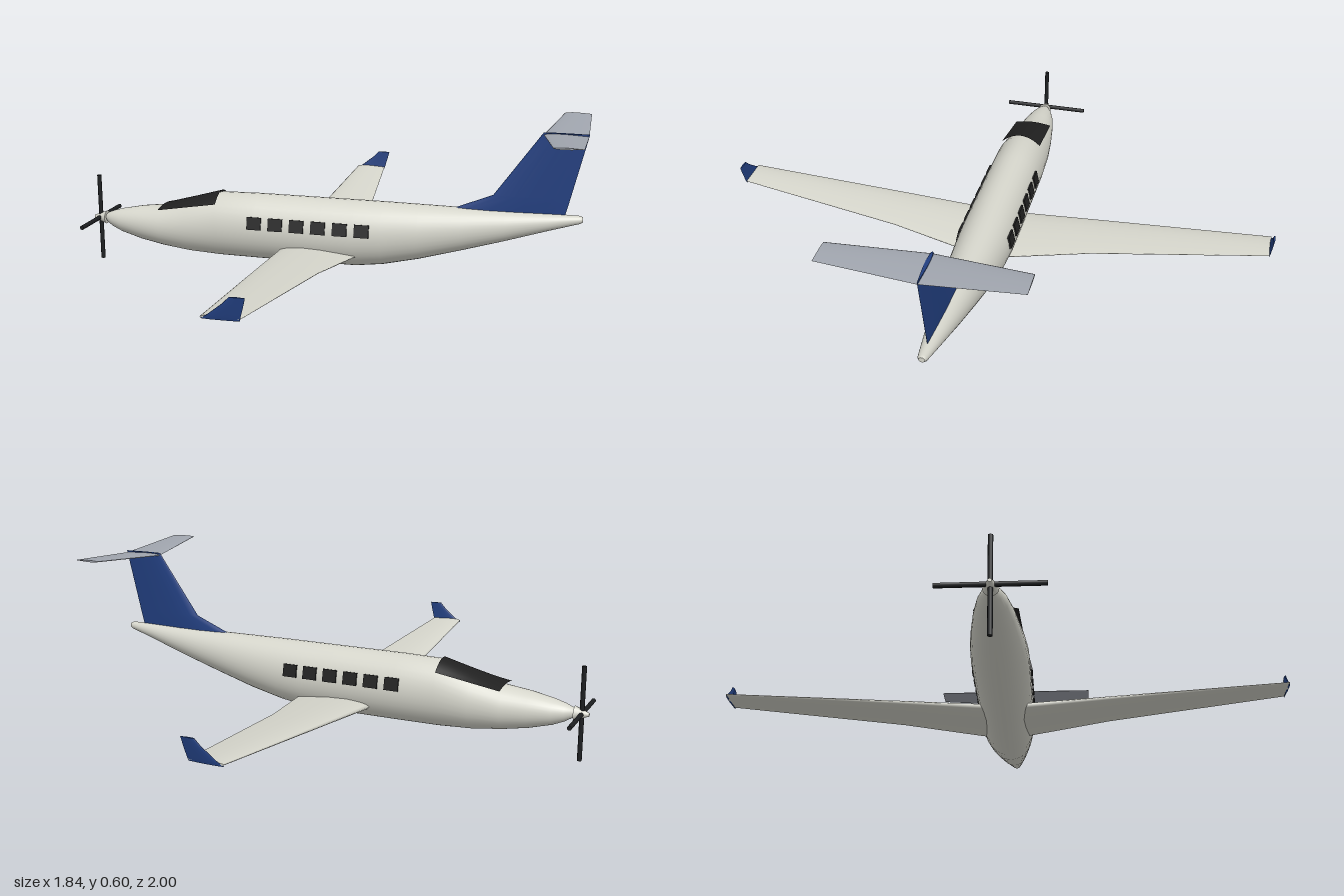
import * as THREE from 'three';

const paint = (name, color, side = THREE.FrontSide) => {
  const m = new THREE.MeshStandardMaterial({ color, side });
  m.name = name;
  return m;
};

// Skins a list of closed rings (arrays of Vector3), caps both ends, and faces outwards.
function loft(rings) {
  const n = rings[0].length, pos = [], idx = [];
  rings.forEach(r => r.forEach(p => pos.push(p.x, p.y, p.z)));
  for (let i = 0; i < rings.length - 1; i++) {
    for (let j = 0; j < n; j++) {
      const a = i * n + j, b = i * n + (j + 1) % n;
      idx.push(a, b, b + n, a, b + n, a + n);
    }
  }
  [rings[0], rings[rings.length - 1]].forEach((ring, end) => {
    const base = pos.length / 3;
    const mid = ring.reduce((s, p) => s.add(p), new THREE.Vector3()).divideScalar(n);
    [...ring, mid].forEach(p => pos.push(p.x, p.y, p.z));
    for (let j = 0; j < n; j++) {
      const a = base + j, b = base + (j + 1) % n;
      end ? idx.push(a, b, base + n) : idx.push(b, a, base + n);
    }
  });
  // The signed volume tells whether the corners run the right way round.
  const v = i => new THREE.Vector3().fromArray(pos, idx[i] * 3);
  let volume = 0;
  for (let i = 0; i < idx.length; i += 3) volume += v(i).dot(v(i + 1).cross(v(i + 2)));
  if (volume < 0) idx.reverse();
  const g = new THREE.BufferGeometry();
  g.setAttribute('position', new THREE.Float32BufferAttribute(pos, 3));
  g.setIndex(idx);
  g.computeVertexNormals();
  return g;
}

// Airfoil outline from x0 to x1; place(x, offset) puts each point in space.
function airfoil(x0, x1, thick, place) {
  const steps = [[0, 0], [0.03, 0.4], [0.12, 0.75], [0.3, 1], [0.55, 0.85], [0.8, 0.45], [1, 0.08]];
  const at = ([t, h], s) => place(x0 + (x1 - x0) * t, s * h * thick / 2);
  return [...steps.map(p => at(p, 1)), ...steps.slice(1).reverse().map(p => at(p, -1))];
}

export function createModel() {
  const model = new THREE.Group();
  const hullPaint = paint('warm white', 0xd6d6cc);
  const bluePaint = paint('navy blue', 0x223f80);
  const greyPaint = paint('tail grey', 0xa0a5ae);
  const glass = paint('dark glass', 0x202020, THREE.DoubleSide);
  const black = paint('propeller black', 0x1c1e20);
  const add = (name, geometry, material, parent = model) => {
    const mesh = new THREE.Mesh(geometry, material);
    mesh.name = name;
    parent.add(mesh);
    return mesh;
  };

  // Fuselage stations: x, bottom, top, half width
  const stations = [
    [-0.875, 0.168, 0.178, 0.005], [-0.865, 0.153, 0.189, 0.018], [-0.84, 0.137, 0.199, 0.032],
    [-0.8, 0.12, 0.21, 0.047], [-0.72, 0.098, 0.226, 0.064], [-0.63, 0.081, 0.237, 0.077],
    [-0.52, 0.067, 0.267, 0.089], [-0.4, 0.061, 0.301, 0.096], [-0.25, 0.06, 0.304, 0.097],
    [0, 0.06, 0.304, 0.097], [0.12, 0.061, 0.304, 0.097], [0.22, 0.074, 0.304, 0.093],
    [0.35, 0.104, 0.303, 0.083], [0.5, 0.147, 0.302, 0.067], [0.65, 0.192, 0.302, 0.05],
    [0.8, 0.24, 0.301, 0.031], [0.905, 0.272, 0.3, 0.016], [0.915, 0.278, 0.296, 0.01],
  ];
  add('fuselage', loft(stations.map(([x, lo, hi, w]) => Array.from({ length: 32 }, (_, j) => {
    const a = j / 32 * Math.PI * 2;
    return new THREE.Vector3(x, (lo + hi) / 2 + Math.cos(a) * (hi - lo) / 2, Math.sin(a) * w);
  }))), hullPaint);

  // Windshield: a thin curved sheet resting on the cockpit
  const sheet = new THREE.PlaneGeometry(1, 2, 6, 12);
  const sp = sheet.attributes.position;
  for (let i = 0; i < sp.count; i++) {
    const t = sp.getX(i) + 0.5, s = sp.getY(i);
    const crown = 0.241 + 0.066 * t, drop = 0.009 + 0.027 * t;
    sp.setXYZ(i, -0.63 + 0.23 * t, crown - drop * s * s, -s * (0.071 + 0.005 * t));
  }
  sheet.computeVertexNormals();
  add('windshield', sheet, glass);

  for (const side of [1, -1]) {
    const label = side > 0 ? 'left' : 'right';

    // Cabin windows
    for (let i = 0; i < 6; i++) {
      const pane = add(label + 'CabinWindow', new THREE.BoxGeometry(0.053, 0.046, 0.009), glass);
      pane.position.set(-0.245 + i * 0.08, 0.214, side * 0.0935);
      pane.rotation.x = -side * 0.22;
    }

    // Wing sections: z, leading x, trailing x, height, thickness
    const wing = [[0, -0.16, 0.145, 0.108, 0.042], [0.1, -0.155, 0.125, 0.116, 0.04],
      [0.37, -0.142, 0.072, 0.141, 0.029], [0.99, -0.11, 0.01, 0.197, 0.012]];
    add(label + 'Wing', loft(wing.map(([z, a, b, y, t]) =>
      airfoil(a, b, t, (x, o) => new THREE.Vector3(x, y + o, side * z)))), hullPaint);

    // Winglet sections: y, leading x, trailing x, z
    const winglet = [[0.191, -0.11, 0.01, 0.988], [0.205, -0.088, 0.014, 0.991],
      [0.245, -0.038, 0.025, 0.995], [0.266, -0.018, 0.03, 0.997]];
    add(label + 'Winglet', loft(winglet.map(([y, a, b, z]) =>
      airfoil(a, b, 0.007, (x, o) => new THREE.Vector3(x, y, side * (z + o))))), bluePaint);

    // Tailplane half, rising slightly to the tip
    const tail = [[0, 0.768, 0.92, 0.577, 0.012], [0.32, 0.82, 0.916, 0.599, 0.007]];
    add(label + 'Tailplane', loft(tail.map(([z, a, b, y, t]) =>
      airfoil(a, b, t, (x, o) => new THREE.Vector3(x, y + o, side * z)))), greyPaint);
  }

  // Fin with its forward fillet: y, leading x, trailing x, thickness
  const fin = [[0.285, 0.43, 0.851, 0.026], [0.302, 0.475, 0.855, 0.025],
    [0.355, 0.605, 0.868, 0.022], [0.585, 0.768, 0.922, 0.014]];
  add('tailFin', loft(fin.map(([y, a, b, t]) =>
    airfoil(a, b, t, (x, o) => new THREE.Vector3(x, y, o)))), bluePaint);

  // Propeller: spinner cone and four blades
  const propeller = new THREE.Group();
  propeller.name = 'propeller';
  propeller.position.set(-0.895, 0.17, 0);
  model.add(propeller);
  const spinner = add('spinner', new THREE.CylinderGeometry(0.006, 0.025, 0.05, 16), hullPaint, propeller);
  spinner.rotation.z = Math.PI / 2;
  for (let i = 0; i < 4; i++) {
    const blade = add('propellerBlade', new THREE.CylinderGeometry(0.008, 0.008, 0.155, 10).translate(0, 0.0875, 0), black, propeller);
    blade.rotation.x = i * Math.PI / 2;
  }

  return model;
}
